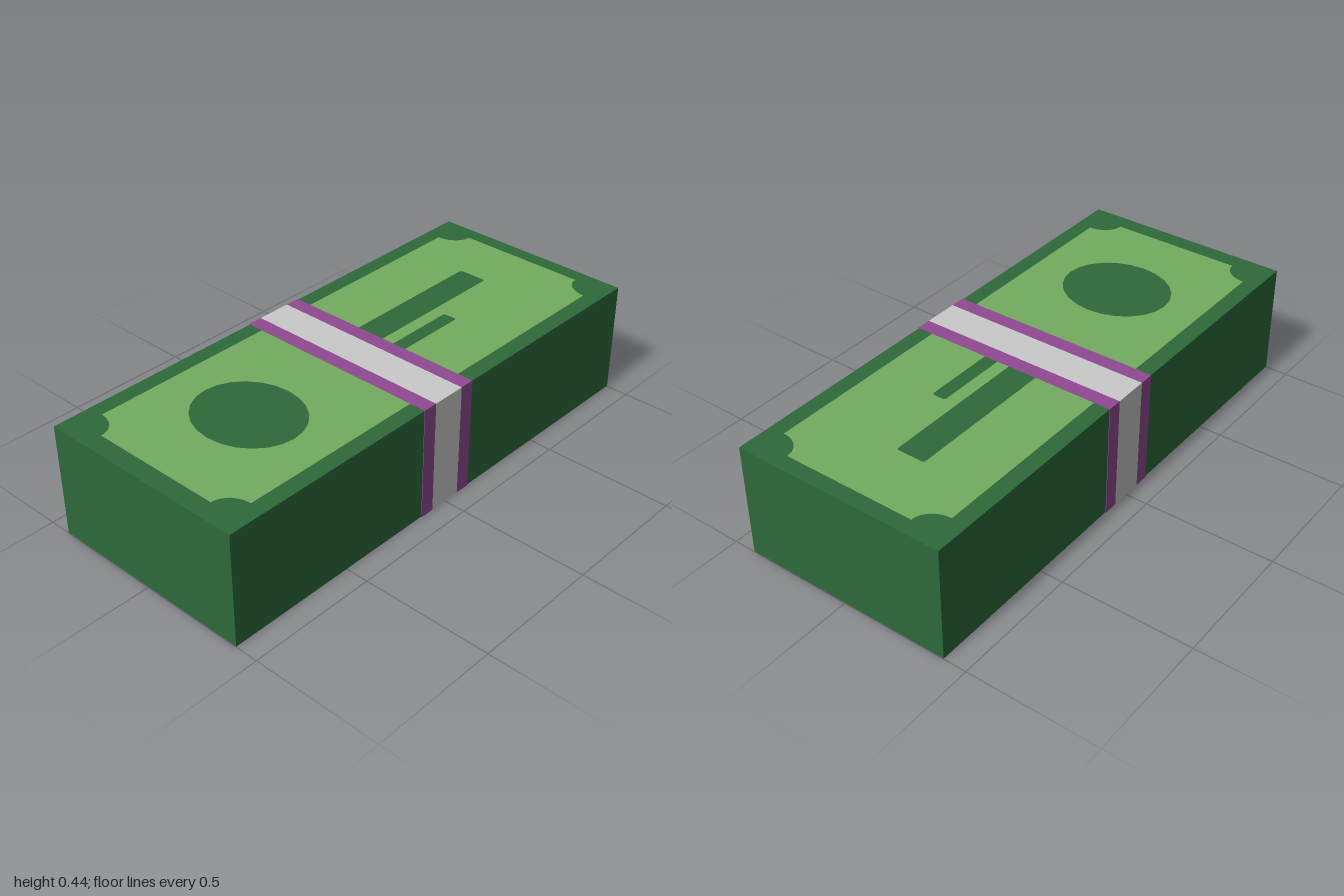
import * as THREE from 'three';

const HEIGHT = 0.442, DEPTH = 0.828, LIFT = 0.002;

const mat = (name, color) => {
  const m = new THREE.MeshStandardMaterial({ color });
  m.name = name;
  return m;
};

// Rectangle with softly rounded corners, in x and z
function roundedBar(x0, x1, z0, z1, r) {
  const p = new THREE.Path();
  p.absarc(x1 - r, z1 - r, r, 0, Math.PI / 2);
  p.absarc(x0 + r, z1 - r, r, Math.PI / 2, Math.PI);
  p.absarc(x0 + r, z0 + r, r, Math.PI, Math.PI * 1.5);
  p.absarc(x1 - r, z0 + r, r, Math.PI * 1.5, Math.PI * 2);
  p.closePath();
  return p;
}

// Printed panel: scooped corners, with an oval and two bars left open
function panelGeometry() {
  const x0 = -0.93, x1 = 0.94, z = 0.35, rx = 0.078, rz = 0.092, q = Math.PI / 2;
  const s = new THREE.Shape();
  s.moveTo(x0 + rx, -z);
  s.absellipse(x1, -z, rx, rz, 2 * q, q, true);
  s.absellipse(x1, z, rx, rz, 3 * q, 2 * q, true);
  s.absellipse(x0, z, rx, rz, 4 * q, 3 * q, true);
  s.absellipse(x0, -z, rx, rz, q, 0, true);
  s.closePath();

  const oval = new THREE.Path();
  oval.absellipse(-0.525, 0, 0.185, 0.21, 0, Math.PI * 2);
  s.holes.push(
    oval,
    roundedBar(0.1, 0.707, -0.108, 0.006, 0.012),
    roundedBar(0.1, 0.408, 0.056, 0.111, 0.01)
  );

  const g = new THREE.ExtrudeGeometry(s, { depth: 0.002, bevelEnabled: false, curveSegments: 12 });
  g.translate(0, 0, -0.001);
  g.rotateX(Math.PI / 2);
  return g;
}

export function createModel() {
  const model = new THREE.Group();
  model.name = 'banknoteBundle';

  const darkGreen = mat('darkGreen', 0x2d6a3a);
  const lightGreen = mat('lightGreen', 0x74ac60);
  const purple = mat('purple', 0x904a92);
  const paper = mat('paperGrey', 0xcacaca);

  const add = (name, geometry, material, x, y) => {
    const m = new THREE.Mesh(geometry, material);
    m.name = name;
    m.position.set(x, y, 0);
    model.add(m);
  };

  // Stack of notes
  add('noteStack', new THREE.BoxGeometry(2, HEIGHT - 2 * LIFT, DEPTH - 2 * LIFT), darkGreen, 0, HEIGHT / 2);

  // Same print on the top and bottom notes
  const panel = panelGeometry();
  add('topPrint', panel, lightGreen, 0, HEIGHT - LIFT);
  add('bottomPrint', panel, lightGreen, 0, LIFT);

  // Paper band with a coloured stripe along each edge
  const strip = (w) => new THREE.BoxGeometry(w, HEIGHT, DEPTH);
  add('bandCentre', strip(0.134), paper, 0, HEIGHT / 2);
  add('bandLeftStripe', strip(0.057), purple, 0.0955, HEIGHT / 2);
  add('bandRightStripe', strip(0.057), purple, -0.0955, HEIGHT / 2);

  return model;
}
